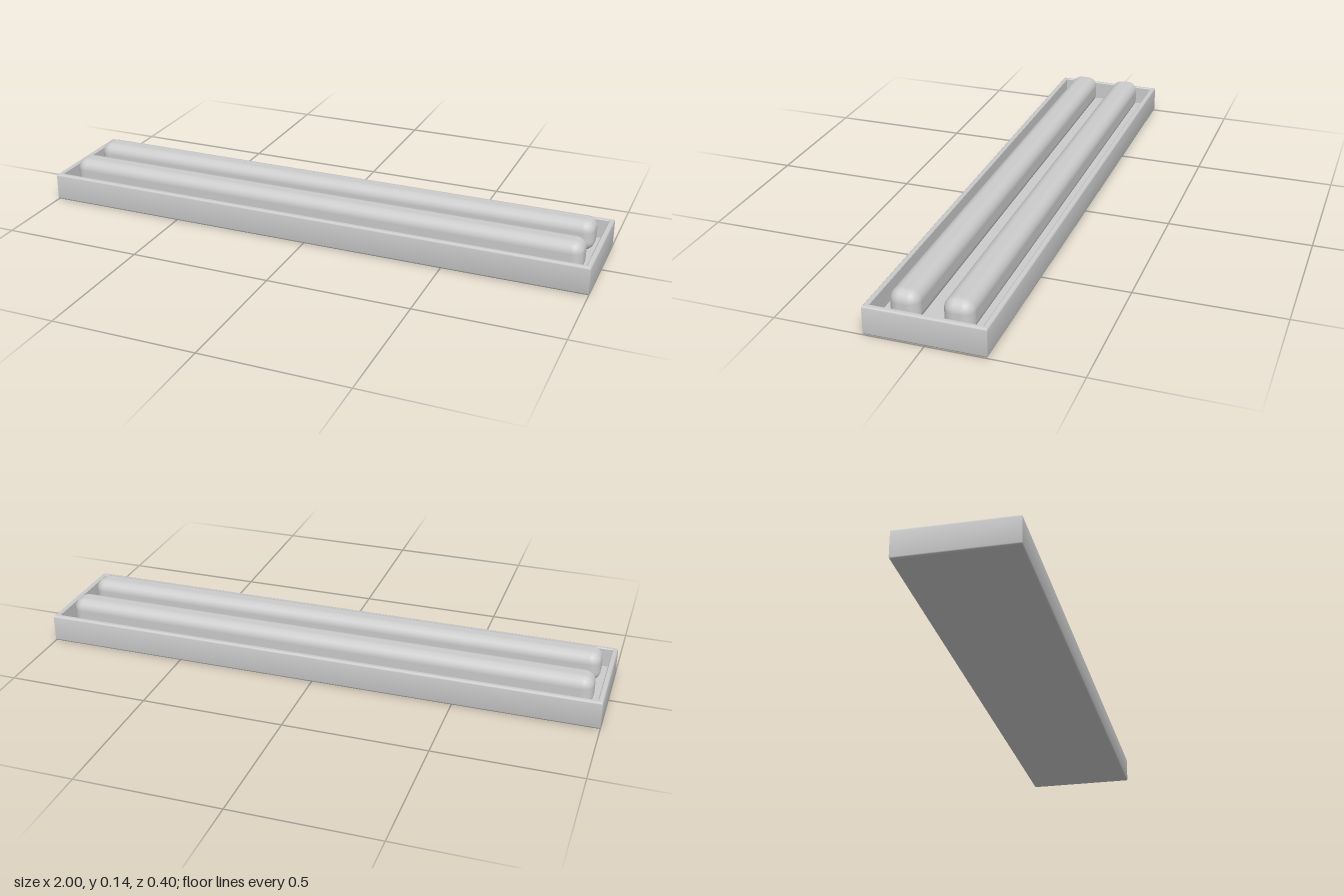
import * as THREE from 'three';
import { toCreasedNormals } from 'three/addons/utils/BufferGeometryUtils.js';
import { RoundedBoxGeometry } from 'three/addons/geometries/RoundedBoxGeometry.js';

const HALF_X = 1, HALF_Z = 0.2, HEIGHT = 0.1, WALL = 0.018, FLOOR = 0.03, EDGE = 0.007;

// Rectangular tray: a wall profile of [inset, y] carried around four corners.
function trayGeometry() {
  const profile = [];
  const arc = (inset, y, from) => {
    for (let i = 0; i <= 3; i++) {
      const a = from + (i / 3) * (Math.PI / 2);
      profile.push([inset - EDGE * Math.cos(a), y + EDGE * Math.sin(a)]);
    }
  };
  arc(EDGE, EDGE, -Math.PI / 2);       // rounded bottom edge
  arc(EDGE, HEIGHT - EDGE, 0);         // rounded rim
  profile.push([WALL - 0.003, HEIGHT], [WALL, HEIGHT - 0.003], [WALL, FLOOR]);

  const signs = [[1, 1], [1, -1], [-1, -1], [-1, 1]];
  const rings = profile.map(([inset, y]) =>
    signs.map(([sx, sz]) => [sx * (HALF_X - inset), y, sz * (HALF_Z - inset)]));
  const positions = [];
  const quad = (a, b, c, d) => positions.push(...a, ...b, ...c, ...a, ...c, ...d);
  for (let i = 0; i < rings.length - 1; i++) {
    for (let j = 0; j < 4; j++) {
      const k = (j + 1) % 4;
      quad(rings[i][j], rings[i][k], rings[i + 1][k], rings[i + 1][j]);
    }
  }
  quad(...rings[0].slice().reverse());  // underside
  quad(...rings[rings.length - 1]);     // inner floor

  const geometry = new THREE.BufferGeometry();
  geometry.setAttribute('position', new THREE.Float32BufferAttribute(positions, 3));
  return toCreasedNormals(geometry, 0.7);
}

export function createModel() {
  const group = new THREE.Group();
  group.name = 'twinTubeLight';
  const material = new THREE.MeshStandardMaterial({ color: 0xcccccc });

  const tray = new THREE.Mesh(trayGeometry(), material);
  tray.name = 'tray';
  group.add(tray);

  // Two long rounded tubes resting on the tray floor
  const top = 0.141;
  const tubeGeometry = new RoundedBoxGeometry(1.916, top - FLOOR, 0.1, 6, 0.038);
  for (const side of [1, -1]) {
    const tube = new THREE.Mesh(tubeGeometry, material);
    tube.name = side > 0 ? 'frontTube' : 'backTube';
    tube.position.set(0, (top + FLOOR) / 2, side * 0.087);
    group.add(tube);
  }
  return group;
}
